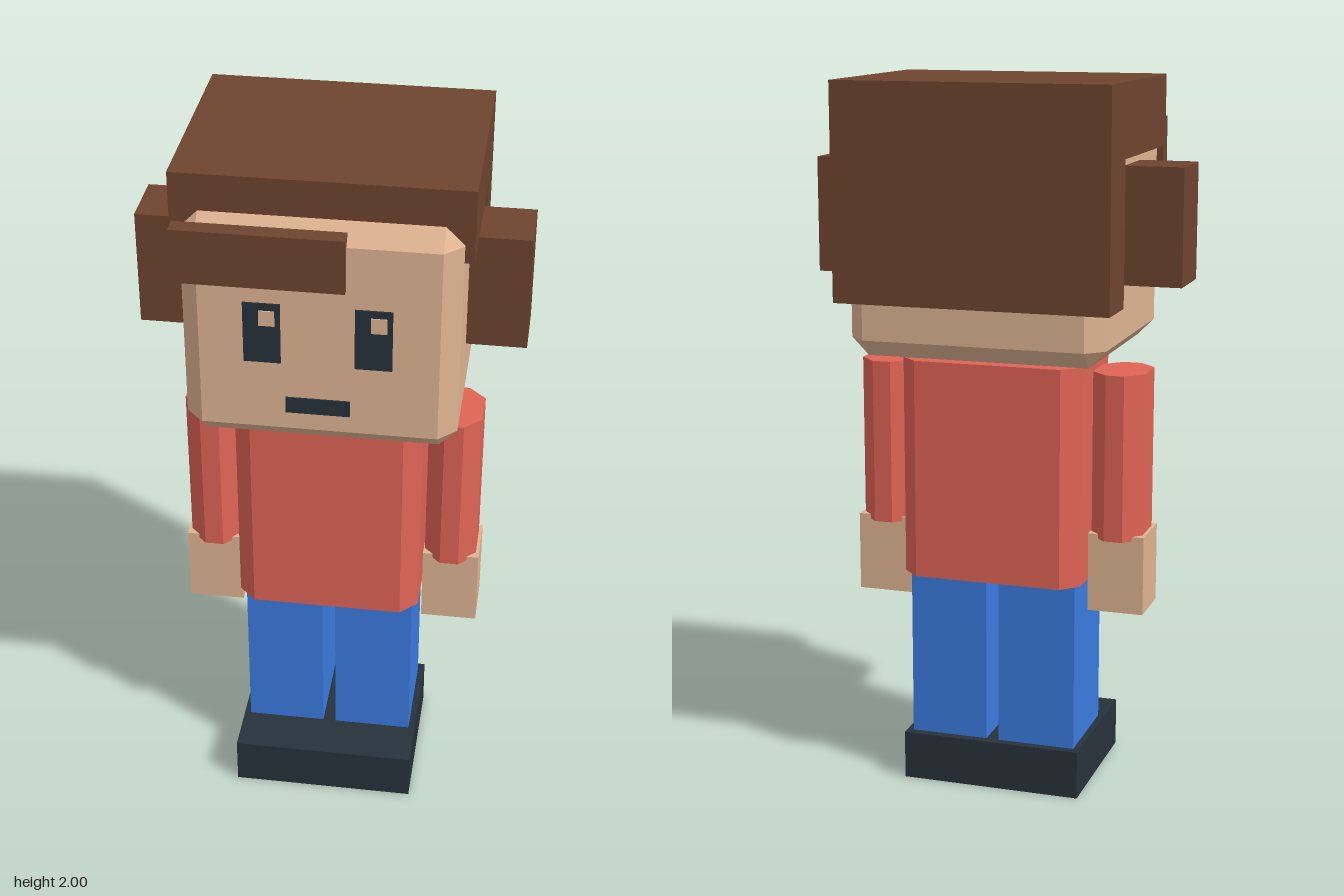
import * as THREE from 'three';
import { ConvexGeometry } from 'three/addons/geometries/ConvexGeometry.js';

const mat = (name, color) => {
  const m = new THREE.MeshStandardMaterial({ color });
  m.name = name;
  return m;
};

export function createModel() {
  const skin = mat('skin', 0xe0b592);
  const red = mat('red shirt', 0xe06455);
  const blue = mat('blue trousers', 0x3b7ce0);
  const brown = mat('brown hair', 0x6f4530);
  const dark = mat('dark slate', 0x27323b);

  const model = new THREE.Group();
  model.name = 'blockFigure';

  const add = (name, geometry, material) => {
    const mesh = new THREE.Mesh(geometry, material);
    mesh.name = name;
    model.add(mesh);
    return mesh;
  };

  // Box given by its limits on each axis
  const box = (name, material, [x0, x1], [y0, y1], [z0, z1]) =>
    add(name, new THREE.BoxGeometry(x1 - x0, y1 - y0, z1 - z0), material)
      .position.set((x0 + x1) / 2, (y0 + y1) / 2, (z0 + z1) / 2);

  // Upright block with its four vertical edges cut off
  const prism = (name, material, x, hx, hz, c, y0, y1) => {
    const outline = [
      [hx - c, hz], [hx, hz - c], [hx, c - hz], [hx - c, -hz],
      [c - hx, -hz], [-hx, c - hz], [-hx, hz - c], [c - hx, hz],
    ].map(([a, b]) => new THREE.Vector2(a, b));
    const geo = new THREE.ExtrudeGeometry(new THREE.Shape(outline), { depth: y1 - y0, bevelEnabled: false });
    geo.rotateX(-Math.PI / 2);
    add(name, geo, material).position.set(x, y0, 0);
  };

  // Block with every edge cut off
  const chamferedBox = (hx, hy, hz, c) => {
    const points = [];
    for (const x of [-1, 1]) for (const y of [-1, 1]) for (const z of [-1, 1]) {
      points.push(
        new THREE.Vector3(x * hx, y * (hy - c), z * (hz - c)),
        new THREE.Vector3(x * (hx - c), y * hy, z * (hz - c)),
        new THREE.Vector3(x * (hx - c), y * (hy - c), z * hz),
      );
    }
    return new ConvexGeometry(points);
  };

  // Body
  box('shoes', dark, [-0.258, 0.258], [0, 0.138], [-0.16, 0.275]);
  prism('torso', red, 0, 0.257, 0.184, 0.048, 0.62, 1.237);
  for (const [side, s] of [['left', 1], ['right', -1]]) {
    const span = (a, b) => (s > 0 ? [a, b] : [-b, -a]);
    box(side + 'Leg', blue, span(0.018, 0.24), [0.138, 0.62], [-0.135, 0.135]);
    prism(side + 'Arm', red, s * 0.338, 0.073, 0.1, 0.047, 0.745, 1.212);
    box(side + 'Hand', skin, span(0.262, 0.42), [0.535, 0.758], [-0.078, 0.078]);
    box(side + 'HairBun', brown, span(0.35, 0.518), [1.46, 1.778], [-0.1, 0.072]);
  }

  // Head
  add('head', chamferedBox(0.357, 0.319, 0.31, 0.048), skin).position.y = 1.581;

  // Hair cap with the back hanging lower, extruded across the head
  const profile = [[-0.333, 1.412], [-0.187, 1.412], [-0.187, 1.803], [0.258, 1.803], [0.258, 2], [-0.333, 2]]
    .map(([z, y]) => new THREE.Vector2(z, y));
  const hair = new THREE.ExtrudeGeometry(new THREE.Shape(profile), { depth: 0.764, bevelEnabled: false });
  hair.rotateY(-Math.PI / 2);
  hair.translate(0.382, 0, 0);
  add('hair', hair, brown);
  box('fringe', brown, [-0.37, 0.07], [1.732, 1.88], [0.283, 0.331]);

  // Face
  for (const [side, x] of [['right', -0.145], ['left', 0.141]]) {
    box(side + 'Eye', dark, [x - 0.048, x + 0.048], [1.508, 1.68], [0.309, 0.314]);
    box(side + 'EyeGlint', skin, [x - 0.007, x + 0.034], [1.617, 1.66], [0.312, 0.317]);
  }
  box('mouth', dark, [-0.086, 0.081], [1.36, 1.406], [0.309, 0.314]);

  return model;
}
